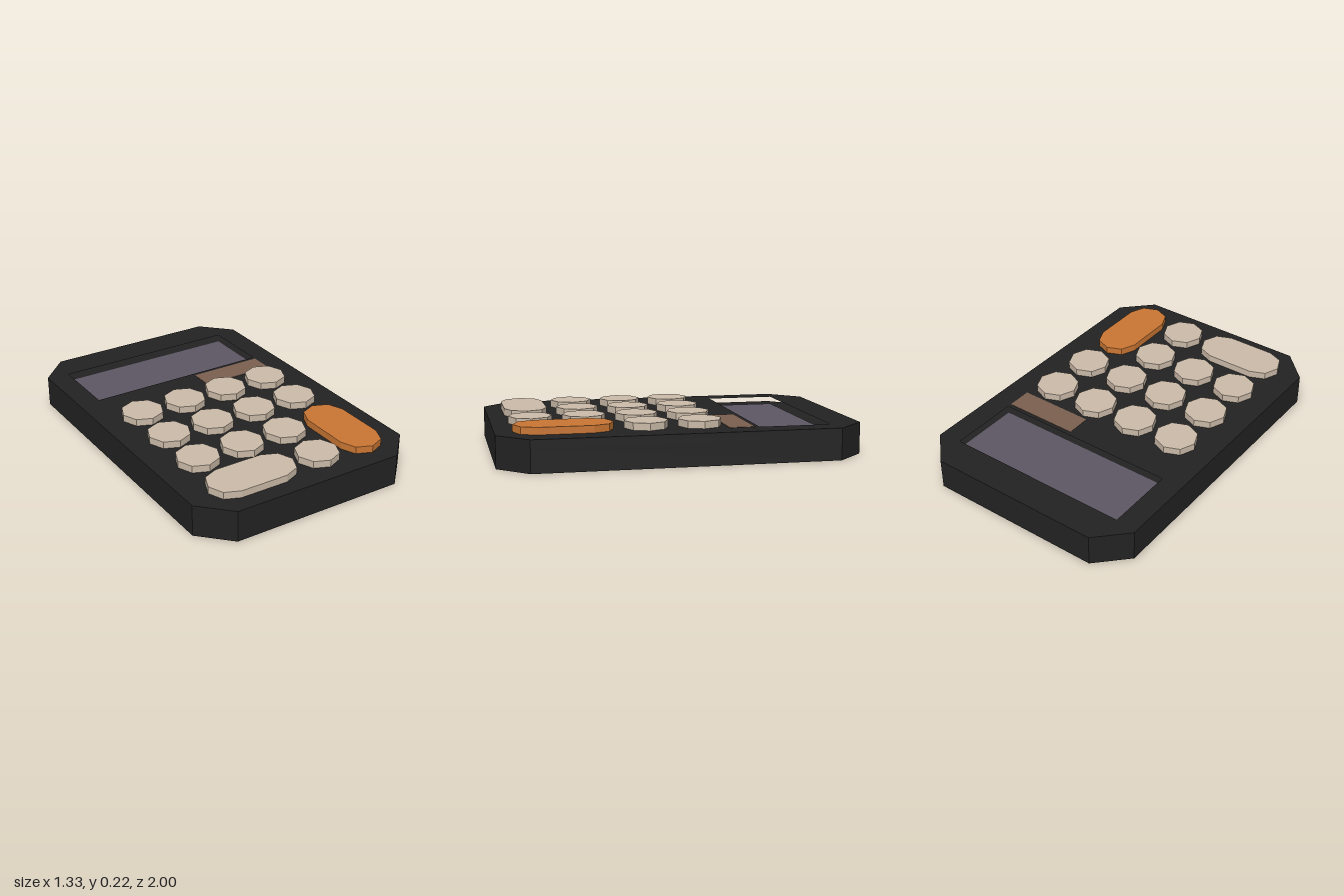
import * as THREE from 'three';

const mat = (name, color) => {
  const m = new THREE.MeshStandardMaterial({ color });
  m.name = name;
  return m;
};

export function createModel() {
  const group = new THREE.Group();
  group.name = 'calculator';
  const black = mat('black casing', 0x222222);
  const beige = mat('beige keys', 0xc9b9a7);
  const orange = mat('orange key', 0xc87533);
  const violet = mat('grey violet display', 0x5d5563);
  const brown = mat('brown solar strip', 0x7a5f4f);

  // Extrude a plan outline of [x, z] points upward from y0 to y1
  const slab = (name, points, y0, y1, material, hole) => {
    const v = (list) => list.map(([x, z]) => new THREE.Vector2(x, -z));
    const shape = new THREE.Shape(v(points));
    if (hole) shape.holes.push(new THREE.Path(v(hole)));
    const geo = new THREE.ExtrudeGeometry(shape, { depth: y1 - y0, bevelEnabled: false });
    geo.rotateX(-Math.PI / 2).translate(0, y0, 0);
    const mesh = new THREE.Mesh(geo, material);
    mesh.name = name;
    group.add(mesh);
  };
  const rect = (x0, x1, z0, z1) => [[x0, z0], [x1, z0], [x1, z1], [x0, z1]];

  // Casing with cut corners and a recessed display window
  const TOP = 0.177, FLOOR = 0.13;
  const outline = [
    [0.505, -1], [0.667, -0.835], [0.667, 0.835], [0.505, 1],
    [-0.505, 1], [-0.667, 0.835], [-0.667, -0.835], [-0.505, -1],
  ];
  const windowRect = rect(-0.54, 0.537, -0.812, -0.412);
  slab('casingBase', outline, 0, FLOOR, black);
  slab('casingTop', outline, FLOOR, TOP, black, windowRect);
  slab('display', windowRect, FLOOR, FLOOR + 0.003, violet);
  slab('solarStrip', rect(0.099, 0.537, -0.388, -0.245), TOP - 0.003, TOP + 0.002, brown);

  // Keys: octagons, optionally stretched along x or z
  const R = 0.121;
  const key = (name, x0, z0, x1, z1, material) => {
    const pts = [];
    const add = (x, z) => {
      const last = pts[pts.length - 1];
      if (!last || Math.hypot(last[0] - x, last[1] - z) > 1e-6) pts.push([x, z]);
    };
    for (let i = 0; i < 8; i++) {
      const c = Math.cos(i * Math.PI / 4), s = Math.sin(i * Math.PI / 4);
      // An axis point on a stretched side appears at both ends
      const xs = Math.abs(c) < 1e-6 ? (s > 0 ? [x1, x0] : [x0, x1]) : [c > 0 ? x1 : x0];
      const zs = Math.abs(s) < 1e-6 ? (c > 0 ? [z0, z1] : [z1, z0]) : [s > 0 ? z1 : z0];
      for (const x of xs) for (const z of zs) add(x + R * c, z + R * s);
    }
    slab(name, pts, TOP - 0.005, 0.217, material);
  };
  const cols = [-0.42, -0.142, 0.136, 0.416];
  const rows = [-0.108, 0.189, 0.486, 0.783];
  rows.forEach((z, r) => cols.forEach((x, c) => {
    const covered = (c === 3 && r >= 2) || (r === 3 && c < 2);
    if (!covered) key(`key${r + 1}${c + 1}`, x, z, x, z, beige);
  }));
  key('wideKey', cols[0], rows[3], cols[1], rows[3], beige);
  key('tallKey', cols[3], rows[2], cols[3], rows[3], orange);

  return group;
}
